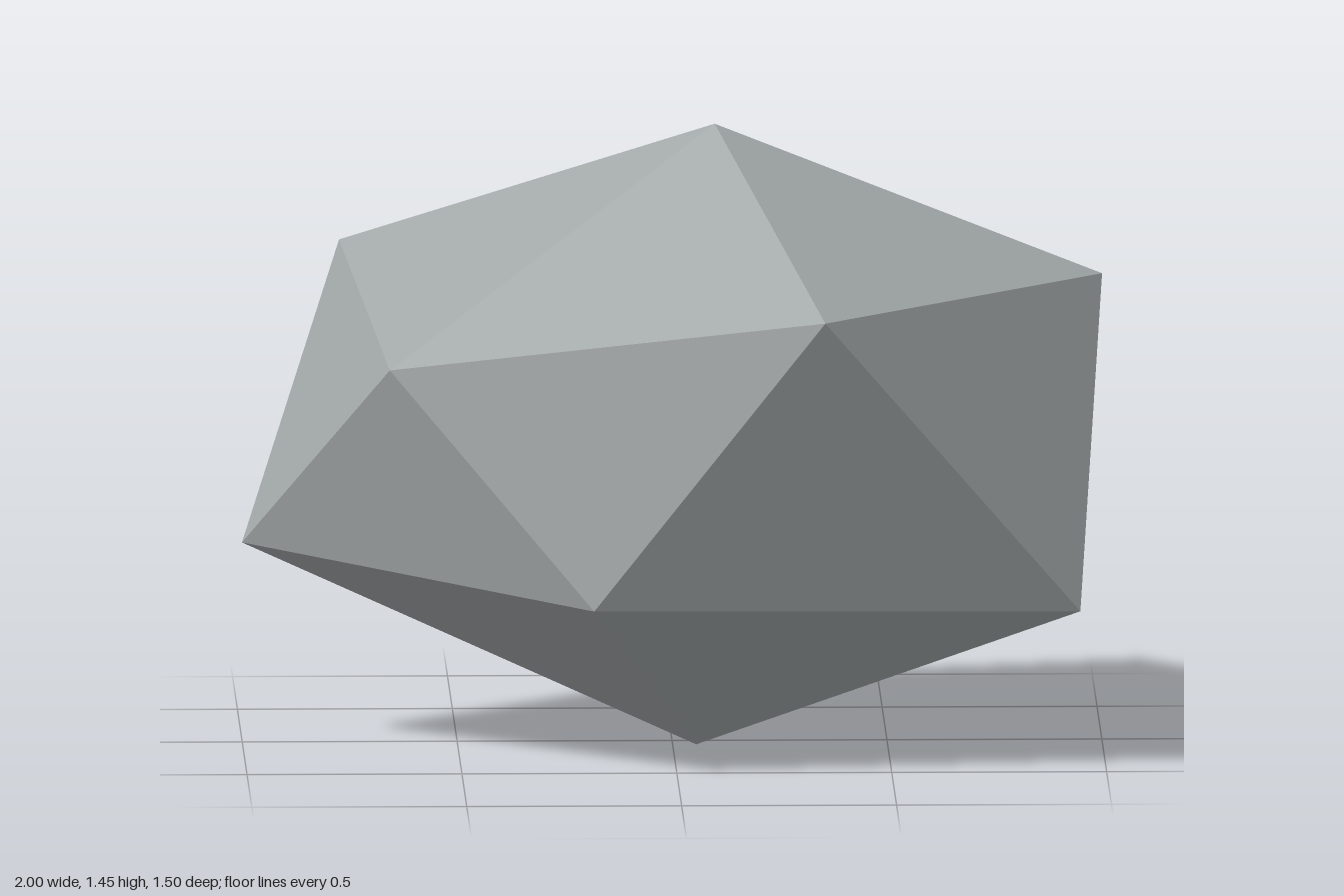
import * as THREE from 'three';

// Low-poly boulder: two staggered rings of five corners between a peak and a base point
const peak = [0.10, 1.445, -0.04];
const base = [0.055, 0, 0.06];
const upper = [
  [0.34, 1.095, 0.75], [1.0, 1.10, 0.025], [0.38, 1.045, -0.75],
  [-0.765, 1.115, -0.435], [-0.665, 0.93, 0.37],
];
// lower[i] sits between upper[i - 1] and upper[i]
const lower = [
  [-0.195, 0.40, 0.625], [0.94, 0.37, 0.45], [0.91, 0.415, -0.55],
  [-0.165, 0.34, -0.68], [-1.0, 0.465, -0.03],
];

function boulderGeometry() {
  const positions = [];
  const face = (a, b, c) => positions.push(...a, ...b, ...c);
  for (let i = 0; i < 5; i++) {
    const j = (i + 1) % 5;
    face(peak, upper[i], upper[j]); // cap
    face(upper[i], lower[i], lower[j]); // side band
    face(upper[i], lower[j], upper[j]);
    face(lower[j], lower[i], base); // underside
  }
  const geometry = new THREE.BufferGeometry();
  geometry.setAttribute('position', new THREE.Float32BufferAttribute(positions, 3));
  geometry.computeVertexNormals(); // unshared corners keep each facet flat
  return geometry;
}

export function createModel() {
  const stone = new THREE.MeshStandardMaterial({ color: 0xa1a6a7 });
  stone.name = 'stone grey';

  const boulder = new THREE.Mesh(boulderGeometry(), stone);
  boulder.name = 'boulder';

  const model = new THREE.Group();
  model.name = 'rock';
  model.add(boulder);
  return model;
}
